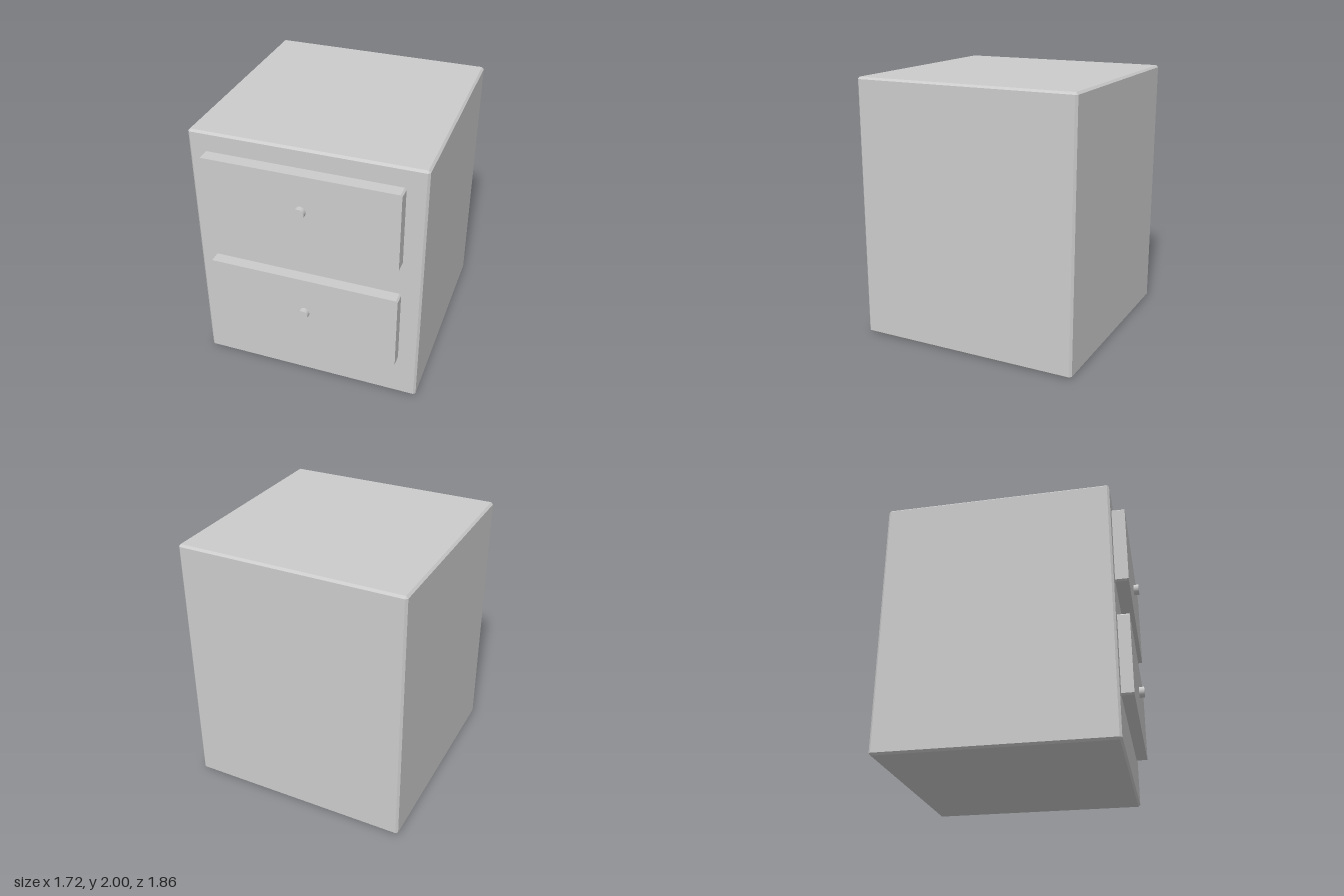
import * as THREE from 'three';
import { ConvexGeometry } from 'three/addons/geometries/ConvexGeometry.js';

const material = new THREE.MeshStandardMaterial({ color: 0xcccccc });

function part(name, geometry, x, y, z) {
  const mesh = new THREE.Mesh(geometry, material);
  mesh.name = name;
  mesh.position.set(x, y, z);
  return mesh;
}

// Box with every edge cut by a flat chamfer c
function chamferedBox(w, h, d, c) {
  const points = [];
  for (const sx of [-1, 1]) for (const sy of [-1, 1]) for (const sz of [-1, 1]) {
    const x = w / 2, y = h / 2, z = d / 2;
    points.push(
      new THREE.Vector3(sx * x, sy * (y - c), sz * (z - c)),
      new THREE.Vector3(sx * (x - c), sy * y, sz * (z - c)),
      new THREE.Vector3(sx * (x - c), sy * (y - c), sz * z));
  }
  return new ConvexGeometry(points);
}

// Panel with clipped corners and sharp front edges, its back at z = 0
function clippedPanel(w, h, d, c) {
  const x = w / 2, y = h / 2;
  const outline = [
    [x - c, -y], [x, c - y], [x, y - c], [x - c, y],
    [c - x, y], [-x, y - c], [-x, c - y], [c - x, -y],
  ].map(([px, py]) => new THREE.Vector2(px, py));
  return new THREE.ExtrudeGeometry(new THREE.Shape(outline), { depth: d, bevelEnabled: false });
}

// Drawer front with a round knob; front is the z of the panel face
function drawer(name, panelY, knobY, front) {
  const group = new THREE.Group();
  group.name = name;
  const back = 0.77;
  group.add(part('drawerFront', clippedPanel(1.45, 0.617, front - back, 0.013), -0.014, panelY, back));
  const knob = new THREE.CylinderGeometry(0.042, 0.042, 0.06, 32).rotateX(Math.PI / 2);
  group.add(part('knob', knob, 0.002, knobY, front + 0.01));
  return group;
}

export function createModel() {
  const model = new THREE.Group();
  model.name = 'nightstand';
  model.add(part('cabinet', chamferedBox(1.72, 2, 1.718, 0.016), 0, 1, -0.068));
  model.add(drawer('upperDrawer', 1.543, 1.57, 0.889));
  model.add(drawer('lowerDrawer', 0.66, 0.668, 0.88));
  return model;
}
